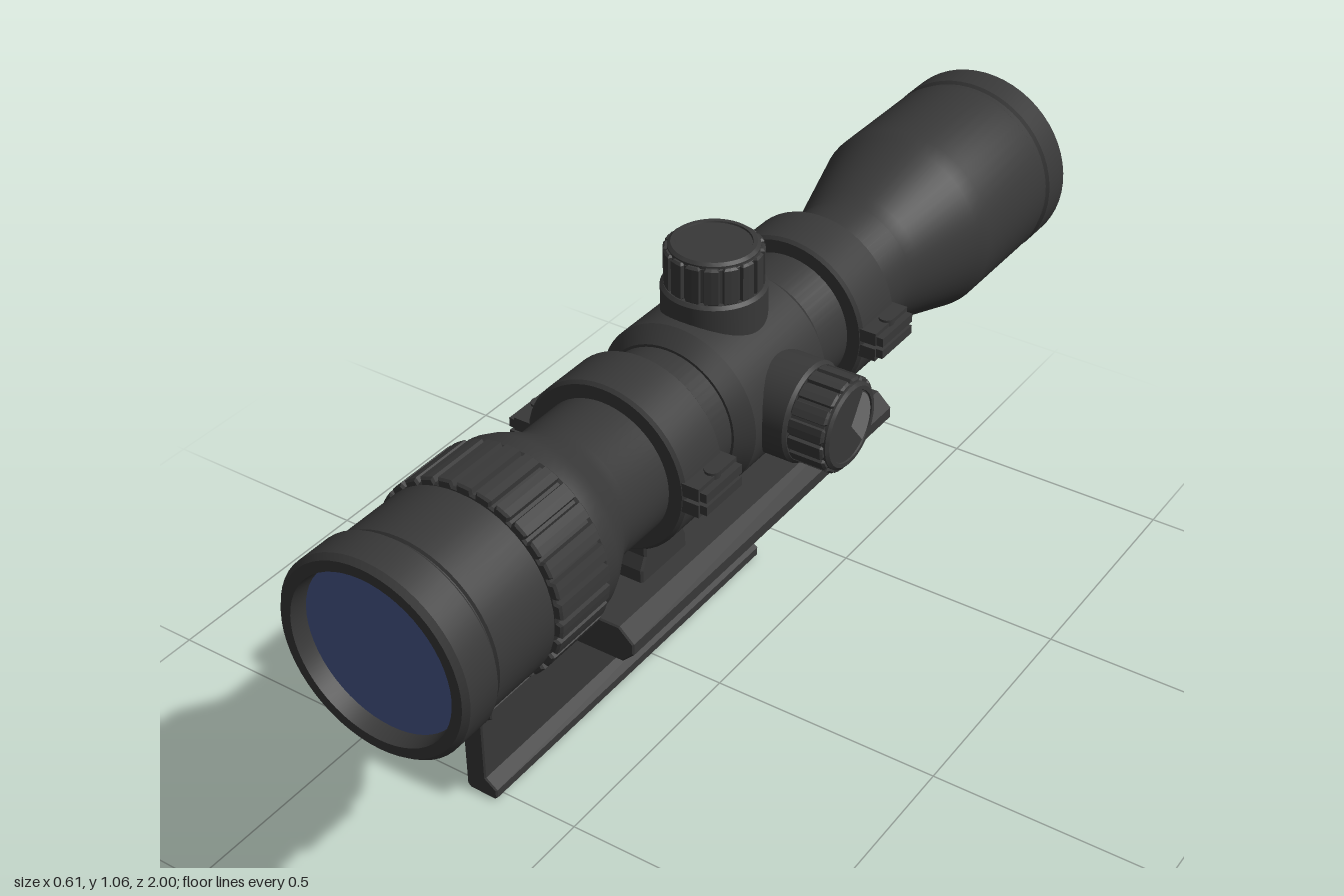
import * as THREE from 'three';
import { toCreasedNormals } from 'three/addons/utils/BufferGeometryUtils.js';

const mat = (name, color) => {
  const m = new THREE.MeshStandardMaterial({ color });
  m.name = name;
  return m;
};

export function createModel() {
  const black = mat('matte black', 0x383838);
  const glass = mat('blue glass', 0x4a5a8e);
  const steel = mat('steel grey', 0x6c6c6c);
  const root = new THREE.Group();
  root.name = 'telescopicSight';

  const add = (parent, name, geo, x = 0, y = 0, z = 0, material = black) => {
    const mesh = new THREE.Mesh(geo, material);
    mesh.name = name;
    mesh.position.set(x, y, z);
    parent.add(mesh);
    return mesh;
  };
  const box = (w, h, d) => new THREE.BoxGeometry(w, h, d);
  // Solid of revolution about the z axis, from [radius, z] pairs in rising z
  const turned = (pts) => toCreasedNormals(
    new THREE.LatheGeometry(pts.map(([r, z]) => new THREE.Vector2(r, z)), 56).rotateX(Math.PI / 2), 0.45);
  const polygon = (pts) => new THREE.Shape(pts.map(([x, y]) => new THREE.Vector2(x, y)));
  // Profile swept along z with softened edges
  const bar = (shape, z0, z1, bevel = 0.006) => new THREE.ExtrudeGeometry(shape, {
    depth: z1 - z0 - 2 * bevel, bevelEnabled: bevel > 0, bevelSize: bevel, bevelThickness: bevel,
    bevelOffset: -bevel, bevelSegments: 1, curveSegments: 6,
  }).translate(0, 0, z0 + bevel);
  // Ribbed drum along z, starting at z = 0
  const ribbed = (r, groove, count, length) => {
    const pts = [];
    for (let i = 0; i < count; i++) {
      [[0, r], [0.36, r], [0.72, r], [0.78, r - groove], [0.94, r - groove]].forEach(([t, rad]) => {
        const a = ((i + t) / count) * Math.PI * 2;
        pts.push([Math.cos(a) * rad, Math.sin(a) * rad]);
      });
    }
    return bar(polygon(pts), 0, length, 0.004);
  };

  // Optical tube
  const scope = new THREE.Group();
  scope.name = 'scope';
  scope.position.set(0.006, 0.767, 0);
  root.add(scope);

  add(scope, 'tube', turned([
    [0.16, -0.965], [0.164, -1], [0.193, -1], [0.2, -0.993], [0.2, -0.93], [0.194, -0.925],
    [0.194, -0.912], [0.199, -0.905], [0.199, -0.67], [0.19, -0.64], [0.145, -0.485], [0.137, -0.455],
    [0.137, 0.485], [0.146, 0.515], [0.174, 0.565], [0.182, 0.585], [0.182, 0.615], [0.176, 0.62],
    [0.176, 0.758], [0.184, 0.763], [0.184, 0.905], [0.179, 0.908], [0.179, 0.915], [0.186, 0.915],
    [0.193, 0.922], [0.193, 0.99], [0.184, 1], [0.164, 1], [0.16, 0.965],
  ]));
  add(scope, 'zoomRing', ribbed(0.193, 0.01, 30, 0.135), 0, 0, 0.62);
  add(scope, 'eyepieceLens', new THREE.CircleGeometry(0.162, 56), 0, 0, 0.967, glass);
  add(scope, 'objectiveLens', new THREE.CircleGeometry(0.162, 56).rotateY(Math.PI), 0, 0, -0.967, glass);

  // Turret housing and the two adjustment knobs
  const turretZ = 0.027;
  add(scope, 'turretHousing', turned([
    [0.13, -0.15], [0.142, -0.15], [0.168, -0.118], [0.168, 0.118], [0.142, 0.15], [0.13, 0.15],
  ]), 0, 0, turretZ);
  const makeTurret = (name) => {
    const g = new THREE.Group();
    g.name = name;
    add(g, 'turretBase', turned([[0.098, 0.08], [0.098, 0.202], [0.092, 0.208], [0, 0.208]]));
    add(g, 'turretKnob', ribbed(0.092, 0.007, 16, 0.075), 0, 0, 0.206);
    add(g, 'turretCap', turned([[0.084, 0.27], [0.084, 0.284], [0.078, 0.289], [0.07, 0.289],
      [0.069, 0.286], [0, 0.286]]));
    g.position.z = turretZ;
    scope.add(g);
    return g;
  };
  makeTurret('topTurret').rotation.x = -Math.PI / 2;
  const side = makeTurret('sideTurret');
  side.rotation.y = Math.PI / 2;
  side.position.x = 0.007;
  // Worn bright patch on the side cap
  add(side, 'capHighlight', new THREE.CircleGeometry(0.066, 20, -0.9, 1.9), 0, 0, 0.288, steel);

  // Clamp rings with split ears, screws and feet
  [0.313, -0.28].forEach((z, i) => {
    const ring = new THREE.Group();
    ring.name = i ? 'rearRing' : 'frontRing';
    ring.position.z = z;
    scope.add(ring);
    add(ring, 'ringBand', turned([
      [0.132, -0.06], [0.164, -0.06], [0.17, -0.054], [0.17, 0.054], [0.164, 0.06], [0.132, 0.06],
    ]));
    for (const s of [-1, 1]) {
      for (const v of [-1, 1]) {
        add(ring, 'clampEar', box(0.05, 0.026, 0.118), s * 0.173, v * 0.017, 0);
        add(ring, 'earTab', box(0.03, 0.018, 0.11), s * 0.197, v * 0.013, 0);
      }
      add(ring, 'clampScrew', new THREE.CylinderGeometry(0.015, 0.015, 0.07, 12), s * 0.187, 0, 0);
    }
    add(ring, 'ringFoot', bar(polygon([
      [-0.07, -0.22], [0.07, -0.22], [0.07, -0.19], [0.058, -0.165], [0.058, -0.12], [-0.058, -0.12],
      [-0.058, -0.165], [-0.07, -0.19],
    ]), -0.083, 0.083, 0.004).rotateY(Math.PI / 2));
  });

  // Bracket: top plate, upright wall with two windows
  const bracket = new THREE.Group();
  bracket.name = 'bracket';
  root.add(bracket);
  add(bracket, 'topPlate', bar(polygon([
    [-0.265, 0.49], [-0.23, 0.49], [-0.215, 0.475], [0.13, 0.475], [0.155, 0.5], [0.155, 0.523],
    [0.125, 0.551], [-0.218, 0.551], [-0.265, 0.507],
  ]), -0.385, 0.505, 0.003));
  const wall = polygon([[-0.505, 0.172], [0.385, 0.172], [0.385, 0.495], [-0.505, 0.495]]);
  for (const cz of [0.275, -0.15]) {
    const hole = new THREE.Path();
    const w = 0.15, h = 0.068, r = 0.035, cy = 0.343;
    hole.absarc(-cz + w - r, cy + h - r, r, 0, Math.PI / 2);
    hole.absarc(-cz - w + r, cy + h - r, r, Math.PI / 2, Math.PI);
    hole.absarc(-cz - w + r, cy - h + r, r, Math.PI, Math.PI * 1.5);
    hole.absarc(-cz + w - r, cy - h + r, r, Math.PI * 1.5, Math.PI * 2);
    hole.closePath();
    wall.holes.push(hole);
  }
  add(bracket, 'wall', bar(wall, -0.265, -0.23, 0).rotateY(Math.PI / 2));

  // Rail clamp with hooked lips
  add(bracket, 'railClamp', bar(polygon([
    [-0.238, 0.01], [-0.23, 0.002], [-0.172, 0], [-0.165, 0.007], [-0.165, 0.025], [-0.191, 0.045],
    [-0.191, 0.188], [-0.165, 0.207], [-0.165, 0.227], [-0.172, 0.234], [-0.23, 0.234], [-0.238, 0.226],
  ]), -0.4, 0.525, 0.003));

  // Fasteners and locking lever on the outer face
  const stud = (name, r, x0, x1, y, z, sides, m) => add(bracket, name,
    new THREE.CylinderGeometry(r, r, x1 - x0, sides).rotateZ(Math.PI / 2), (x0 + x1) / 2, y, z, m);
  stud('nutWasher', 0.05, -0.258, -0.235, 0.093, -0.2, 20);
  stud('hexNut', 0.036, -0.276, -0.25, 0.093, -0.2, 6);
  stud('nutTip', 0.018, -0.283, -0.27, 0.093, -0.2, 12);
  stud('leverPivot', 0.055, -0.264, -0.235, 0.093, 0.02, 20);
  add(bracket, 'lockingLever', box(0.028, 0.045, 0.37), -0.268, 0.085, 0.185);
  stud('leverEnd', 0.038, -0.282, -0.24, 0.09, 0.02, 16);
  stud('leverKnob', 0.036, -0.305, -0.25, 0.075, 0.355, 20, steel);
  stud('wallScrew', 0.016, -0.27, -0.26, 0.34, 0.065, 12);

  return root;
}
